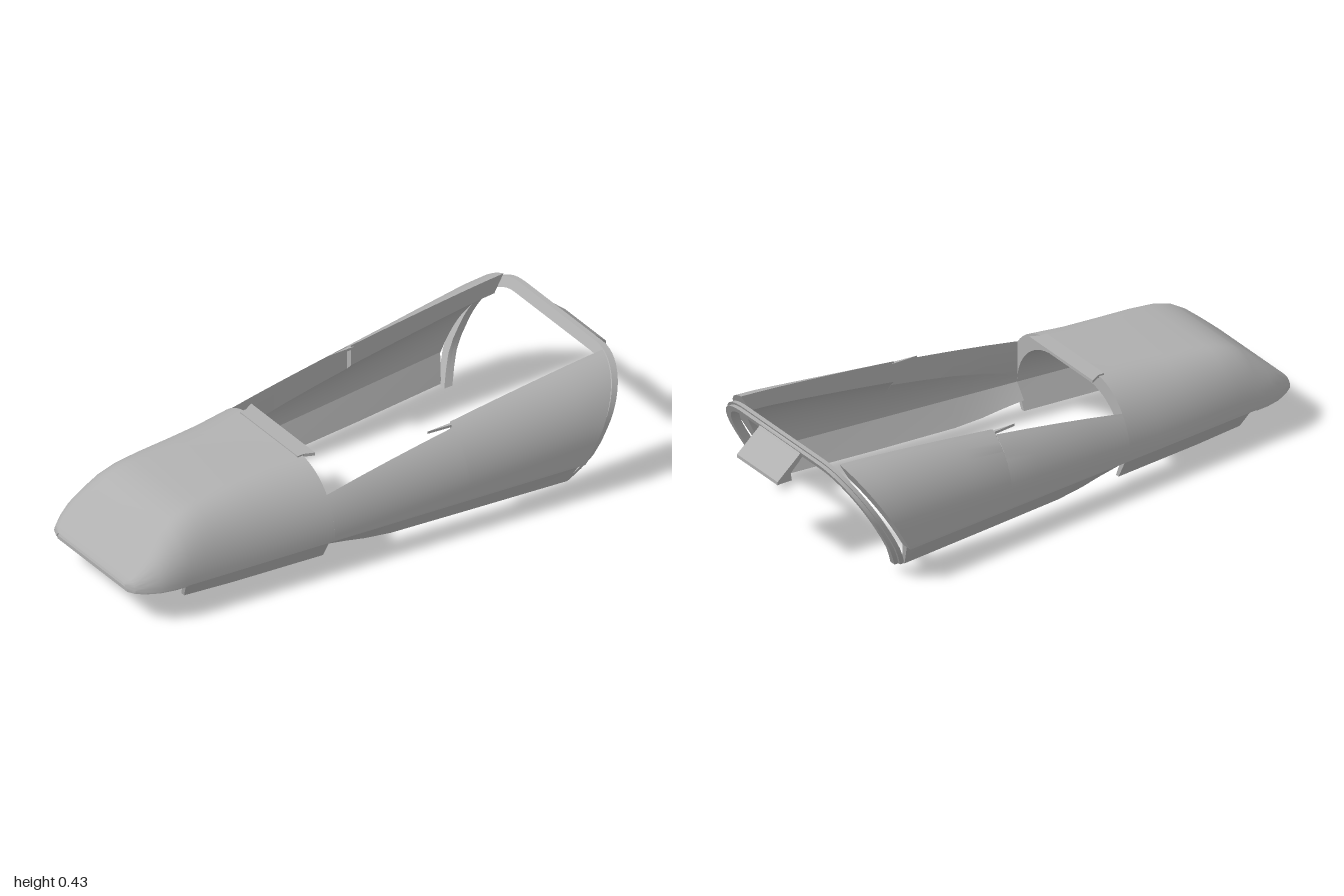
import * as THREE from 'three';
import { mergeGeometries, toCreasedNormals } from 'three/addons/utils/BufferGeometryUtils.js';

const lerp = THREE.MathUtils.lerp;
const BELT = 0.125; // height of the ledge between shell and skirt

// piecewise linear curve through [x, value] pairs
function curve(points) {
  return (x) => {
    if (x <= points[0][0]) return points[0][1];
    for (let i = 1; i < points.length; i++) {
      const [a, b] = [points[i - 1], points[i]];
      if (x <= b[0]) return lerp(a[1], b[1], (x - a[0]) / (b[0] - a[0]));
    }
    return points[points.length - 1][1];
  };
}
const halfWidth = curve([[-1, 0.2], [-0.985, 0.235], [-0.95, 0.262], [-0.91, 0.283], [-0.86, 0.296], [0.76, 0.45]]);
const topHeight = curve([[-1, 0.145], [-0.98, 0.163], [-0.85, 0.278], [-0.8, 0.31], [-0.74, 0.33], [-0.65, 0.341], [-0.26, 0.365], [0.87, 0.437]]);
const cornerWidth = curve([[-1, 0.02], [-0.85, 0.13], [-0.4, 0.21]]);

// one half of the arched cross-section, from the belt up to the opening edge
function halfSection(x, inset, edgeZ, n = 14) {
  const w = halfWidth(x) - inset;
  const t = Math.max(topHeight(x) - inset, BELT + 0.005);
  const rx = cornerWidth(x), ry = Math.min(0.23, t - BELT);
  const end = edgeZ === undefined ? Math.PI / 2 : Math.acos(Math.min(1, (edgeZ - w + rx) / rx));
  const pts = [[x, BELT, w]];
  for (let i = 0; i <= n; i++) {
    const a = (end * i) / n;
    pts.push([x, t - ry + ry * Math.sin(a), w - rx + rx * Math.cos(a)]);
  }
  return pts;
}
const mirrorRow = (row) => [...row, ...row.slice().reverse().map(([x, y, z]) => [x, y, -z])];

// surface through rows of points
function grid(rows) {
  const pos = [], index = [], n = rows[0].length;
  rows.forEach((r) => r.forEach((p) => pos.push(...p)));
  for (let i = 0; i < rows.length - 1; i++) {
    for (let j = 0; j < n - 1; j++) {
      const a = i * n + j, b = a + n;
      index.push(a, b, a + 1, b, b + 1, a + 1);
    }
  }
  const g = new THREE.BufferGeometry();
  g.setAttribute('position', new THREE.Float32BufferAttribute(pos, 3));
  g.setIndex(index);
  return g;
}

// thick wall: outer and inner surface joined along all four borders
function wall(outer, inner) {
  const last = outer.length - 1, col = (rows, j) => rows.map((r) => r[j]);
  const n = outer[0].length - 1;
  const g = mergeGeometries([
    grid(outer), grid(inner.map((r) => r.slice().reverse())),
    grid([inner[0], outer[0]]), grid([outer[last], inner[last]]),
    grid([col(outer, 0), col(inner, 0)]), grid([col(inner, n), col(outer, n)]),
  ]);
  return toCreasedNormals(g, 0.5);
}

// side profile in x, y extruded across z
function profile(points, z0, z1) {
  const shape = new THREE.Shape(points.map(([x, y]) => new THREE.Vector2(x, y)));
  return new THREE.ExtrudeGeometry(shape, { depth: z1 - z0, bevelEnabled: false }).translate(0, 0, z0);
}
// plan outline in x, z with thickness in y
function plate(points, y0, y1) {
  const shape = new THREE.Shape(points.map(([x, z]) => new THREE.Vector2(x, -z)));
  return new THREE.ExtrudeGeometry(shape, { depth: y1 - y0, bevelEnabled: false }).rotateX(-Math.PI / 2).translate(0, y0, 0);
}

export function createModel() {
  const model = new THREE.Group();
  const grey = new THREE.MeshStandardMaterial({ color: 0xb0b0b0, side: THREE.DoubleSide });
  grey.name = 'plainGrey';
  const add = (name, geometry) => {
    const m = new THREE.Mesh(geometry, grey);
    m.name = name;
    model.add(m);
    return m;
  };
  const flip = (rows, s) => rows.map((r) => (s > 0 ? r : r.slice().reverse()).map(([x, y, z]) => [x, y, z * s]));

  // closed front hood with its lining
  const hoodX = [-1, -0.985, -0.97, -0.95, -0.91, -0.88, -0.85, -0.82, -0.8, -0.77, -0.74, -0.7, -0.65, -0.52, -0.39, -0.26];
  add('hood', wall(
    hoodX.map((x) => mirrorRow(halfSection(x, 0))),
    hoodX.map((x) => mirrorRow(halfSection(Math.max(x, -0.93), 0.045)))));

  // thin lip at the back of the hood
  add('hoodLip', plate([[-0.28, -0.17], [-0.255, -0.17], [-0.22, -0.19], [-0.22, 0.18], [-0.255, 0.165], [-0.28, 0.165]], 0.357, 0.368));

  // floor under the nose
  const noseX = [-0.995, -0.98, -0.95, -0.91, -0.86, -0.81];
  const side = noseX.map((x) => [x, halfWidth(x) - 0.01]);
  add('noseFloor', plate([...side, ...side.slice().reverse().map(([x, z]) => [x, -z])], 0.115, 0.128));

  // side panels: the back edge slants with height
  const fixedX = [-0.26, -0.13, 0, 0.125, 0.249, 0.251, 0.4, 0.55];
  const edgeAt = (x) => (x < 0.25 ? 0.305 : 0.286);
  const panelRows = (inset) => {
    const rows = fixedX.map((x) => halfSection(x, inset, edgeAt(x)));
    const finish = (f) => rows[0].map((_, j) => {
      let x = 0.8;
      for (let k = 0; k < 8; k++) x = 0.69 + 0.58 * (halfSection(x, inset, 0.286)[j][1] - BELT);
      x = lerp(0.55, x, f);
      return halfSection(x, inset, 0.286)[j];
    });
    return [...rows, ...[0.25, 0.5, 0.75, 1].map(finish)];
  };

  // skirt strip leaning inwards below the belt
  const skirtRows = (stations, top, bottom) => stations.map(([x, y, xLow = x]) => [
    [x, BELT + 0.003, halfWidth(x) - top], [xLow, y, halfWidth(x) - bottom]]);
  const hoodSkirt = [[-0.81, 0.04, -0.785], [-0.6, 0.036], [-0.26, 0.034]];
  const panelSkirt = [[-0.26, 0.075], [-0.18, 0.064], [-0.1, 0.05], [0, 0.04], [0.3, 0.036], [0.69, 0.034, 0.665]];

  for (const s of [1, -1]) {
    const tag = s > 0 ? 'Front' : 'Back';
    add('sidePanel' + tag, wall(flip(panelRows(0), s), flip(panelRows(0.045), s)));
    for (const [name, st] of [['hoodSkirt', hoodSkirt], ['panelSkirt', panelSkirt]]) {
      add(name + tag, wall(flip(skirtRows(st, 0.02, 0.07), s), flip(skirtRows(st, 0.045, 0.085), s)));
    }
    // pointed catch on the opening edge
    add('edgeCatch' + tag, plate([[0.16, s * 0.285], [0.26, s * 0.284], [0.26, s * 0.297]], 0.357, 0.366));
  }

  // slanted hoop closing the back end
  const hoopRow = (d, dx) => {
    const half = [[0.03, 0.365 - d], [0.08, 0.395 - d], [BELT, 0.417 - d], [0.17, 0.425 - d]];
    const cy = 0.215, cz = 0.225, rz = 0.2 - d, ry = 0.212 - d;
    for (let i = 0; i <= 14; i++) {
      const a = (i / 14) * Math.PI / 2;
      half.push([cy + ry * Math.sin(a), cz + rz * Math.cos(a)]);
    }
    return mirrorRow(half.map(([y, z]) => [0.685 + (y - 0.03) * 0.565 + dx, y, z]));
  };
  add('backHoop', wall([hoopRow(0, -0.025), hoopRow(0, -0.008)], [hoopRow(0.033, -0.025), hoopRow(0.033, -0.008)]));
  add('hoopFlange', wall([hoopRow(0.01, -0.008), hoopRow(0.01, 0.008)], [hoopRow(0.033, -0.008), hoopRow(0.033, 0.008)]));

  // back latch: sloping plate on three ribs
  add('latchPlate', profile([[0.9, 0.42], [0.915, 0.404], [1, 0.33], [1, 0.318], [0.985, 0.32], [0.9, 0.395]], -0.118, 0.118));
  for (const z of [-0.1, 0, 0.1]) {
    add('latchRib', profile([[0.895, 0.4], [0.92, 0.395], [0.995, 0.325], [0.995, 0.317], [0.94, 0.317], [0.945, 0.345], [0.91, 0.38]], z - 0.015, z + 0.015));
  }

  // nose tab: foot, flared web and centre rib
  add('noseTab', profile([[-0.815, 0.128], [-0.8, 0.08], [-0.78, 0], [-0.72, 0], [-0.645, 0.012], [-0.68, 0.034], [-0.75, 0.034], [-0.785, 0.128]], -0.079, 0.079));
  const web = [];
  for (let i = 0; i <= 8; i++) {
    const a = (i / 8) * Math.PI / 2;
    const x = -0.8 - 0.035 * (i / 8), y = 0.12 + 0.075 * Math.sin(a), z = 0.079 + 0.1 * (1 - Math.cos(a));
    web.push([[x, y, z], [x, y, -z]]);
  }
  add('tabWeb', toCreasedNormals(grid(web), 0.5));
  add('tabRib', profile([[-0.87, 0.2], [-0.83, 0.255], [-0.815, 0.255], [-0.79, 0.15], [-0.74, 0.04], [-0.7, 0.02], [-0.78, 0.02], [-0.82, 0.13]], -0.012, 0.012));

  return model;
}
